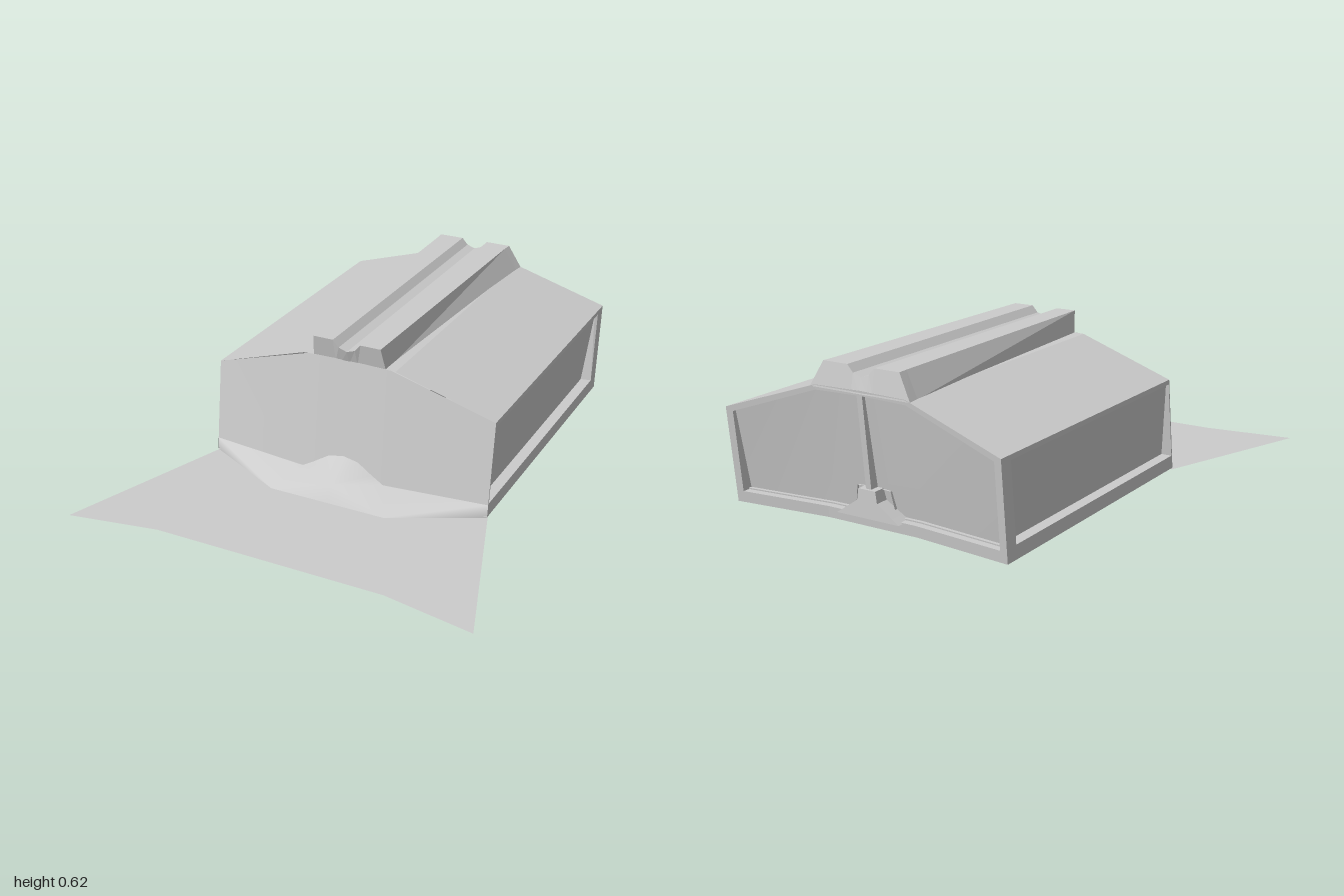
import * as THREE from 'three';
import { mergeVertices } from 'three/addons/utils/BufferGeometryUtils.js';

const flat = new THREE.MeshStandardMaterial({
  color: 0xcccccc, flatShading: true, side: THREE.DoubleSide,
});
const smooth = new THREE.MeshStandardMaterial({ color: 0xcccccc, side: THREE.DoubleSide });

// Gable ends lean forward at the foot and bow forward towards the middle.
const bow = (x) => 0.045 * Math.min(1, (0.61 - Math.abs(x)) / 0.41);
const backZ = (x, y) => -1 + (0.4 - y) * 0.11 + bow(x);
const frontZ = (x, y) => 0.25 + (0.4 - y) * 0.145 + bow(x);
const onBack = ([x, y], depth = 0) => [x, y, backZ(x, y) + depth];
const onFront = ([x, y], depth = 0) => [x, y, frontZ(x, y) - depth];

// Mesh from a list of polygons, each an array of corner points.
function surface(name, faces, material) {
  const pos = [];
  for (const f of faces) {
    for (let i = 1; i < f.length - 1; i++) pos.push(...f[0], ...f[i], ...f[i + 1]);
  }
  let g = new THREE.BufferGeometry();
  g.setAttribute('position', new THREE.Float32BufferAttribute(pos, 3));
  if (material === smooth) g = mergeVertices(g);
  g.computeVertexNormals();
  const mesh = new THREE.Mesh(g, material);
  mesh.name = name;
  return mesh;
}

// Quads between two matching rows of points.
function strip(a, b, closed = false) {
  const faces = [];
  const n = closed ? a.length : a.length - 1;
  for (let i = 0; i < n; i++) {
    const j = (i + 1) % a.length;
    faces.push([a[i], b[i], b[j], a[j]]);
  }
  return faces;
}

// Adds the reflected copy of faces given for the +x half.
const mirrored = (faces) => faces.concat(
  faces.map((f) => f.map(([x, y, z]) => [-x, y, z]).reverse()));

export function createModel() {
  const model = new THREE.Group();
  model.name = 'shelter';
  const add = (name, faces, material = flat) =>
    model.add(surface(name, mirrored(faces), material));

  // Roof skin
  const roof = [[0.61, 0.395], [0.2, 0.53], [0, 0.535]];
  add('roof', strip(roof.map((p) => onFront(p)), roof.map((p) => onBack(p))));

  // Front wall with an arched lower edge
  const arch = [[0.61, 0.06], [0.18, 0.06], [0.13, 0.088], [0.065, 0.128], [0, 0.14]];
  const eave = [[0.61, 0.395], [0.18, 0.531], [0.13, 0.532], [0.065, 0.534], [0, 0.535]];
  const archEdge = arch.map((p) => onFront(p));
  add('frontWall', strip(archEdge, eave.map((p) => onFront(p))), smooth);

  // Rear wall: frame, reveal and panel sunk deeper at its foot
  const outer = [[0, 0.01], [0.2, 0.01], [0.61, 0.01], [0.61, 0.395], [0.2, 0.53], [0, 0.535]];
  const inner = [[0.012, 0.055], [0.2, 0.055], [0.58, 0.055], [0.58, 0.38], [0.2, 0.51], [0.012, 0.515]];
  const rim = inner.map((p) => onBack(p));
  const sunk = inner.map((p, i) => onBack(p, i < 3 ? 0.045 : 0.015));
  add('rearFrame', [
    ...strip(outer.map((p) => onBack(p)), rim, true),
    ...strip(rim, sunk, true),
  ]);
  add('rearPanel', strip([sunk[5], sunk[4], sunk[3]], [sunk[0], sunk[1], sunk[2]]), smooth);

  // Side walls: frame, reveal and panel sunk deeper at its foot
  const X = 0.61;
  const sideOuter = [onFront([X, 0.01]), onBack([X, 0.01]), onBack([X, 0.395]), onFront([X, 0.395])];
  const sideRim = [onFront([X, 0.065], 0.006), onBack([X, 0.065], 0.06),
    onBack([X, 0.376], 0.06), onFront([X, 0.376], 0.006)];
  const sideSunk = sideRim.map(([x, y, z], i) => [x - (i < 2 ? 0.045 : 0.012), y, z + (i === 1 || i === 2 ? 0.008 : 0)]);
  add('sideFrame', [...strip(sideOuter, sideRim, true), ...strip(sideRim, sideSunk, true)]);
  add('sidePanel', [sideSunk]);

  // Raised underside with a tunnel along the middle
  const along = (row) => strip(row.map((p) => onBack(p, 0.03)), row.map((p) => onFront(p)));
  add('floor', along([[0.59, 0.06], [0.2, 0.06], [0.092, 0.06]]));
  add('tunnel', along([[0.092, 0.06], [0.075, 0.155], [0, 0.16]]));

  // Sills hanging below the floor at the sides and the rear
  add('sideSill', along([[0.61, 0.01], [0.59, 0.01], [0.59, 0.06]]));
  const sill = [[0, 0.01], [0.2, 0.01], [0.61, 0.01]];
  const sillInside = sill.map((p) => onBack(p, 0.03));
  add('rearSill', [
    ...strip(sill.map((p) => onBack(p)), sillInside),
    ...strip(sillInside, sill.map(([x]) => onBack([x, 0.06], 0.03))),
  ]);

  // Sloped skirt under the front wall, with a hump over the tunnel mouth
  const corner = [0.61, 0.004, 0.3];
  const toe = [0.25, 0.004, 0.48];
  const toeMid = [0, 0.004, 0.48];
  const tip = [0, 0.066, 0.44];
  add('frontSkirt', [
    [archEdge[0], toe, corner],
    [archEdge[0], archEdge[1], toe],
    [archEdge[1], tip, toe],
    [toe, tip, toeMid],
    ...archEdge.slice(1, 4).map((p, i) => [p, archEdge[i + 2], tip]),
  ], smooth);

  // Flat apron spreading out on the ground
  add('apron', [
    [corner, toe, [0.48, 0.004, 0.94], [0.85, 0, 1]],
    [toe, toeMid, [0, 0.004, 0.94], [0.48, 0.004, 0.94]],
  ]);

  // Twin ridge rails with a groove between them, widening to the rear
  const section = (foot, top, footZ, topZ) => [
    [foot, 0.522, footZ], [top, 0.62, topZ], [0.06, 0.62, topZ],
    [0.035, 0.592, topZ], [0, 0.58, topZ]];
  const front = section(0.158, 0.146, 0.272, 0.295);
  const rear = section(0.218, 0.165, -0.92, -0.91);
  const end = section(0.222, 0.168, -0.97, -0.955);
  const cap = (row) => strip(row, row.map(([x]) => [x, 0.522, row[0][2]]));
  add('ridgeRails', [...strip(front, rear), ...strip(rear, end), ...cap(front), ...cap(end)]);

  // Flared foot of the rear centre post
  const half = [[0.14, 0.05], [0.11, 0.07], [0.045, 0.115], [0.038, 0.16], [0.012, 0.16]];
  const outline = [...half, ...half.map(([x, y]) => [-x, y]).reverse()];
  const foot = new THREE.Mesh(new THREE.ExtrudeGeometry(
    new THREE.Shape(outline.map((p) => new THREE.Vector2(...p))),
    { depth: 0.07, bevelEnabled: false }), flat);
  foot.name = 'postFoot';
  foot.position.z = -0.94;
  model.add(foot);

  // Small plates under the floor
  for (const x of [-0.415, 0.415]) {
    const plate = new THREE.Mesh(new THREE.BoxGeometry(0.04, 0.012, 0.12), flat);
    plate.name = 'floorPlate';
    plate.position.set(x, 0.056, -0.38);
    model.add(plate);
  }
  return model;
}
